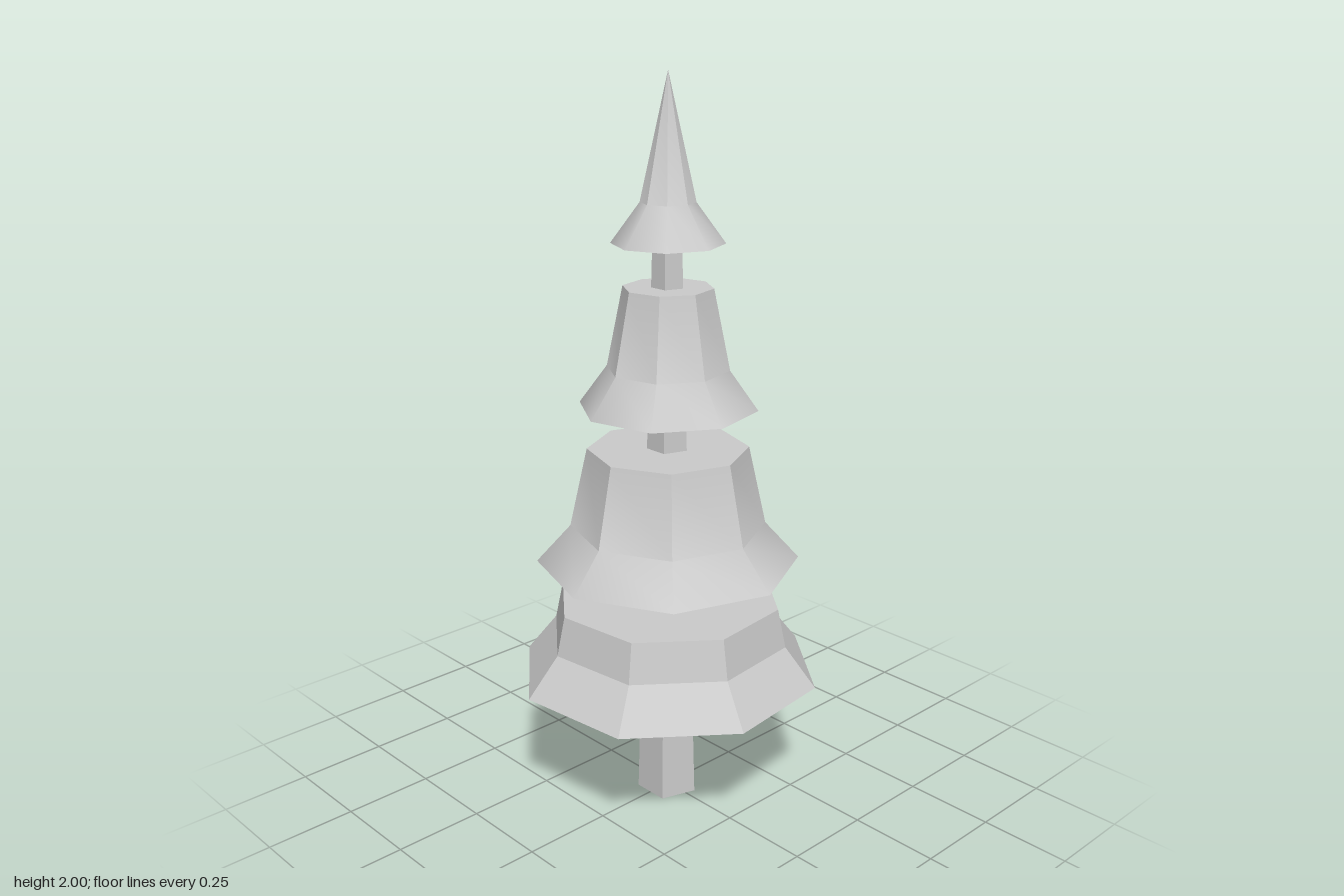
import * as THREE from 'three';
import { toCreasedNormals } from 'three/addons/utils/BufferGeometryUtils.js';

const material = new THREE.MeshStandardMaterial({ color: 0xcccccc });

// Faceted solid of revolution; the first corner sits at `turn` degrees from +x towards +z.
function faceted(name, sides, turn, crease, profile) {
  const points = profile.map(([r, y]) => new THREE.Vector2(r, y));
  const start = Math.PI / 2 - THREE.MathUtils.degToRad(turn);
  const lathe = new THREE.LatheGeometry(points, sides, start);
  const mesh = new THREE.Mesh(toCreasedNormals(lathe, crease), material);
  mesh.name = name;
  return mesh;
}

// Foliage tiers: [radius, height] of the skirt rim, the shoulder and the top
const tiers = [
  { name: 'bottomTier', turn: 15.9, crease: 0.3, rings: [[0.421, 0.375], [0.335, 0.485], [0.312, 0.594]] },
  { name: 'lowerMiddleTier', turn: -4, crease: 0.66, rings: [[0.358, 0.704], [0.265, 0.807], [0.217, 1.025]] },
  { name: 'upperMiddleTier', turn: 8.6, crease: 0.66, rings: [[0.24, 1.14], [0.164, 1.245], [0.12, 1.46]] },
  { name: 'treeTop', turn: 0, crease: 0.66, rings: [[0.148, 1.573], [0.072, 1.677], [0, 2]] },
];

export function createModel() {
  const tree = new THREE.Group();
  tree.name = 'firTree';

  // Tapered five-sided trunk running up into the top cone
  tree.add(faceted('trunk', 5, 0, 0.3, [[0, 0], [0.086, 0], [0.04, 1.6], [0, 1.6]]));

  // Eight-sided tiers, closed underneath and on top
  for (const { name, turn, crease, rings } of tiers) {
    const profile = [[0, rings[0][1]], ...rings];
    if (rings[2][0] > 0) profile.push([0, rings[2][1]]);
    tree.add(faceted(name, 8, turn, crease, profile));
  }
  return tree;
}
